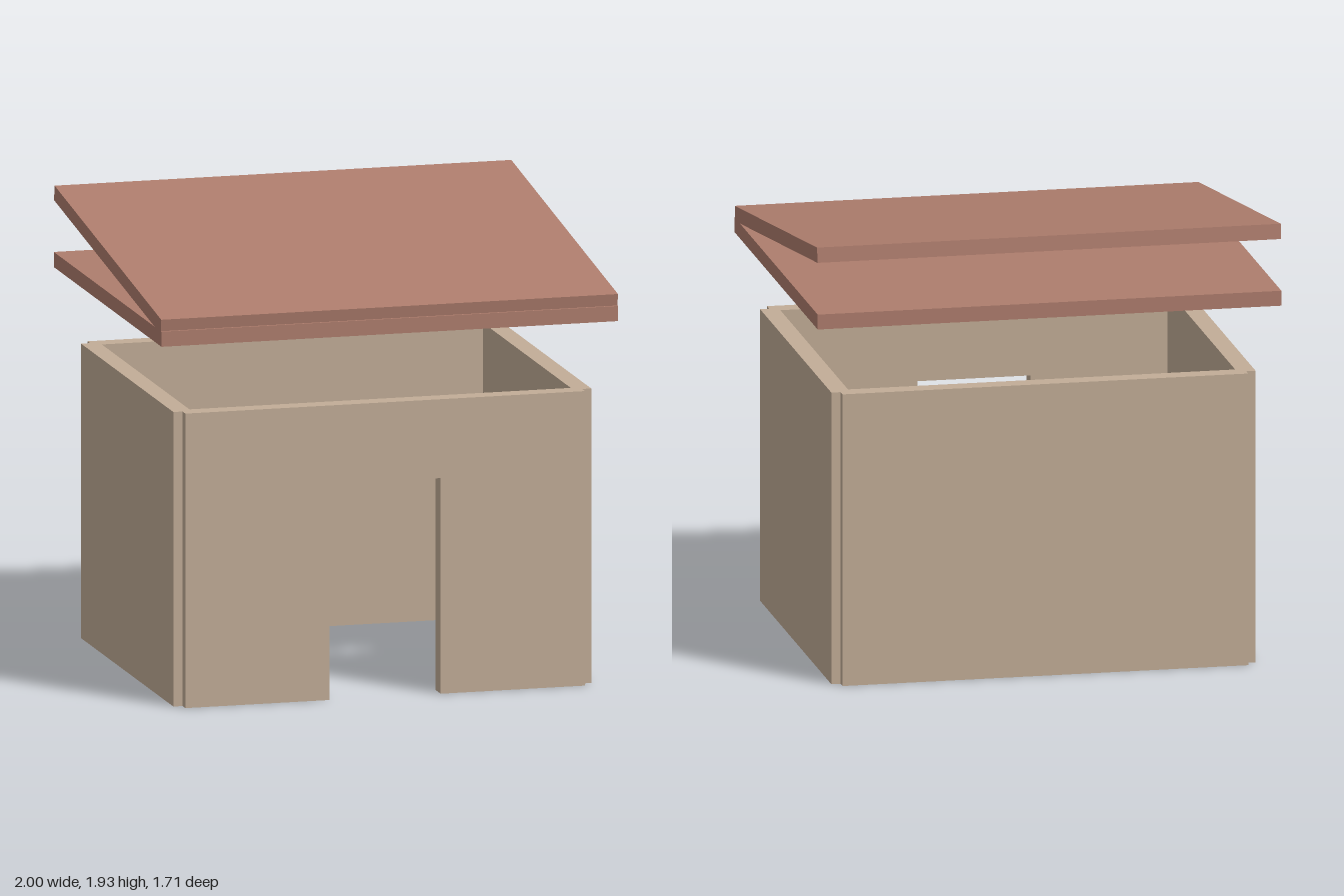
import * as THREE from 'three';

export function createModel() {
  const model = new THREE.Group();
  const wallMat = new THREE.MeshStandardMaterial({ color: 0xc2ad97 });
  wallMat.name = 'sand wall';
  const roofMat = new THREE.MeshStandardMaterial({ color: 0xae7d6d });
  roofMat.name = 'clay roof';

  const add = (name, geometry, material, x, y, z) => {
    const mesh = new THREE.Mesh(geometry, material);
    mesh.name = name;
    mesh.position.set(x, y, z);
    model.add(mesh);
    return mesh;
  };

  const height = 1.27, thick = 0.08, halfWidth = 0.875;

  // Front wall with a doorway open at the floor
  const door = 0.243, doorTop = 0.93;
  const outline = new THREE.Shape([
    [-halfWidth, 0], [-door, 0], [-door, doorTop], [door, doorTop],
    [door, 0], [halfWidth, 0], [halfWidth, height], [-halfWidth, height],
  ].map(([x, y]) => new THREE.Vector2(x, y)));
  add('frontWall', new THREE.ExtrudeGeometry(outline, { depth: thick, bevelEnabled: false }),
    wallMat, 0, 0, 0.7);

  // Plain back wall
  add('backWall', new THREE.BoxGeometry(halfWidth * 2, height, thick), wallMat, 0, height / 2, -0.73);

  // Side walls stand slightly proud, leaving a small notch at each corner
  for (const [name, side] of [['leftWall', 1], ['rightWall', -1]]) {
    add(name, new THREE.BoxGeometry(thick, height, 1.465), wallMat, side * 0.875, height / 2, 0.0025);
  }

  // Flat ceiling slab and the sloped roof resting on its front edge
  add('ceilingSlab', new THREE.BoxGeometry(2, 0.065, 1.71), roofMat, 0, 1.6125, 0);
  const roof = add('slopedRoof', new THREE.BoxGeometry(2, 0.065, 1.709), roofMat, 0, 1.7825, 0);
  roof.rotation.x = THREE.MathUtils.degToRad(8);

  return model;
}
